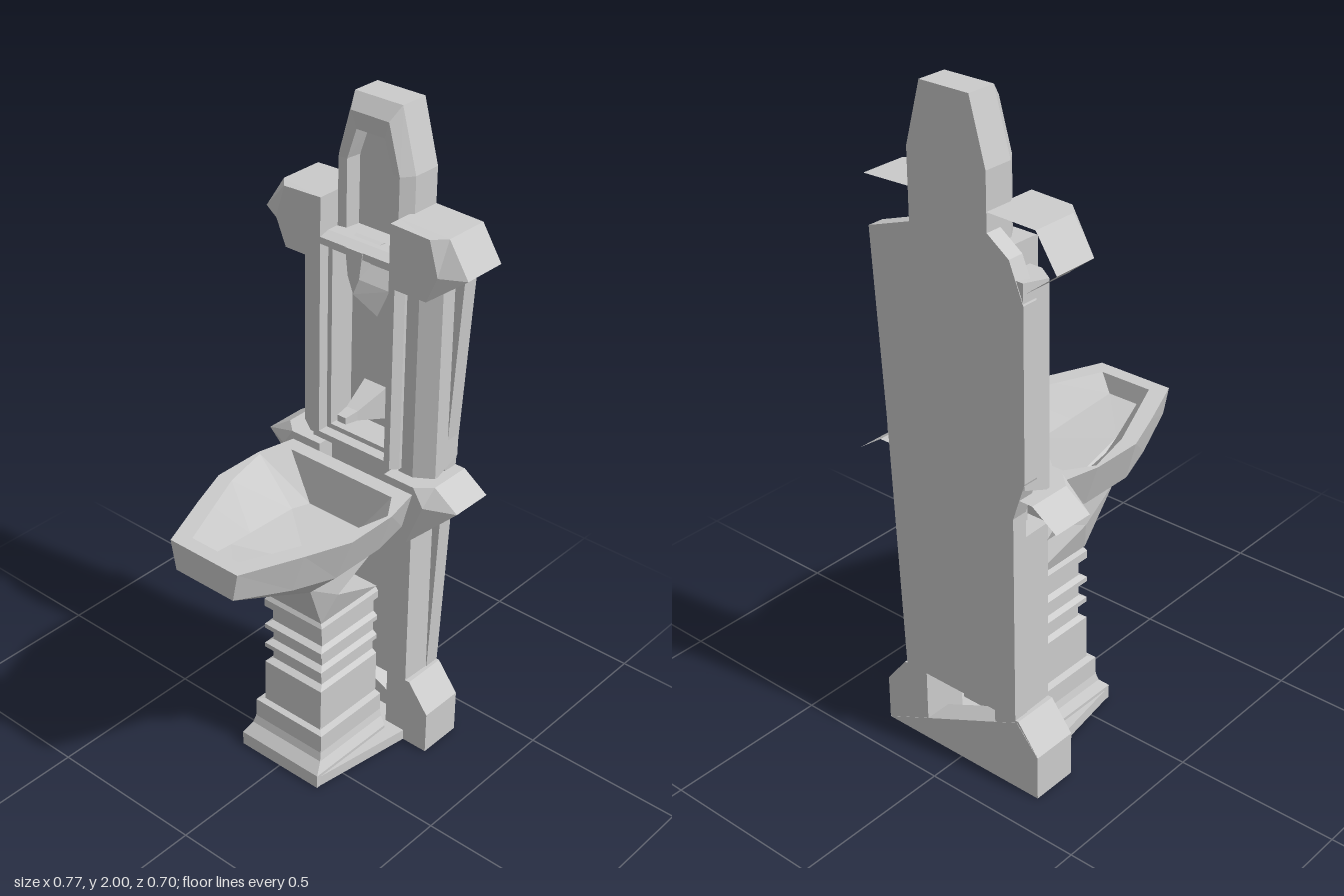
import * as THREE from 'three';

const stone = new THREE.MeshStandardMaterial({ color: 0xcccccc, flatShading: true });

// Skin a run of rings. The first ring's cap faces the viewer, the last faces away.
function loft(rings, project, capStart = true, capEnd = true) {
  const flat = (r) => r.map((p) => new THREE.Vector2(...project(p)));
  const R = THREE.ShapeUtils.area(flat(rings[0])) < 0 ? rings.map((r) => [...r].reverse()) : rings;
  const pos = [];
  const tri = (a, b, c) => pos.push(...a, ...b, ...c);
  for (let k = 0; k + 1 < R.length; k++) {
    const a = R[k], b = R[k + 1], n = a.length;
    for (let i = 0; i < n; i++) {
      const j = (i + 1) % n;
      tri(a[i], b[i], b[j]);
      tri(a[i], b[j], a[j]);
    }
  }
  const cap = (r, flip) => {
    for (const [a, b, c] of THREE.ShapeUtils.triangulateShape(flat(r), [])) {
      if (flip) tri(r[a], r[c], r[b]);
      else tri(r[a], r[b], r[c]);
    }
  };
  if (capStart) cap(R[0], false);
  if (capEnd) cap(R[R.length - 1], true);
  const g = new THREE.BufferGeometry();
  g.setAttribute('position', new THREE.Float32BufferAttribute(pos, 3));
  g.computeVertexNormals();
  return g;
}

// Layers [x, [[z, y], ...]] running from the fountain's face (-x) to its back (+x).
const depthLoft = (layers, s = 1, capEnd = true) =>
  loft(layers.map(([x, pts]) => pts.map(([z, y]) => [x, y, z * s])), (p) => [p[2], p[1]], true, capEnd);

// Rings of half outlines [x, y, z], mirrored in z, running from top to bottom.
const plumbLoft = (halves) =>
  loft(
    halves.map((h) => [...h, ...[...h].reverse().map(([x, y, z]) => [x, y, -z])]),
    (p) => [p[0], -p[2]]
  );

const rect = (z0, z1, y0, y1) => [[z0, y0], [z1, y0], [z1, y1], [z0, y1]];

export function createModel() {
  const group = new THREE.Group();
  const add = (name, geometry) => {
    const m = new THREE.Mesh(geometry, stone);
    m.name = name;
    group.add(m);
    return m;
  };

  // Back slab, with its slightly uneven outline
  const slab = [
    [0.205, 0.23], [-0.205, 0.23], [-0.205, 0.88], [-0.245, 1.0], [-0.245, 1.5], [-0.2, 1.61],
    [-0.13, 1.66], [0.13, 1.62], [0.275, 1.57], [0.24, 1.0],
  ];
  add('backSlab', depthLoft([[0.335, slab], [0.385, slab]]));

  // Crest with chamfered rim and sunken face
  const crest = (k, top) => [
    [-0.13 * k, 1.62], [0.13 * k, 1.62], [0.13 * k, 1.82], [0.08 * k, top], [-0.08 * k, top], [-0.13 * k, 1.82],
  ];
  add('crest', depthLoft([
    [0.31, crest(0.55, 1.9)], [0.265, crest(0.6, 1.91)], [0.26, crest(0.8, 1.96)],
    [0.295, crest(1, 2)], [0.385, crest(1, 2)],
  ]));

  // Sunken panel and its stepped frame
  const panel = (d) => rect(-0.15 + d, 0.15 - d, 0.96 + d, 1.61 - d);
  add('panelFrame', depthLoft([
    [0.31, panel(0.06)], [0.235, panel(0.05)], [0.235, panel(0.035)],
    [0.207, panel(0.03)], [0.207, panel(0.01)], [0.24, panel(0)], [0.335, panel(0)],
  ]));
  add('lowerPanel', depthLoft([[0.265, rect(-0.15, 0.15, 0.2, 0.97)], [0.335, rect(-0.15, 0.15, 0.2, 0.97)]]));
  add('panelOrnament', depthLoft([
    [0.205, [[-0.02, 1.52], [0, 1.47], [0.02, 1.52], [0.03, 1.6], [-0.03, 1.6]]],
    [0.31, [[-0.04, 1.45], [0, 1.36], [0.04, 1.45], [0.06, 1.62], [-0.06, 1.62]]],
  ]));
  add('spout', depthLoft([
    [0.165, rect(-0.015, 0.015, 1.085, 1.105)], [0.21, rect(-0.02, 0.02, 1.08, 1.11)],
    [0.31, rect(-0.04, 0.04, 1.05, 1.15)],
  ]));

  // Side posts: plinth, lower shaft, bracket, upper shaft, capital
  const bracket = (e) => [[0.12, 0.75], [0.205, 0.75], [0.35 - e, 0.89], [0.27 - e / 2, 0.945], [0.12, 0.945]];
  const capital = (e) => [[0.12, 1.53], [0.245, 1.53], [0.35 - e, 1.61], [0.285 - e / 2, 1.71], [0.12, 1.715]];
  const plinth = [[0.13, 0], [0.285, 0], [0.285, 0.14], [0.215, 0.23], [0.13, 0.23]];
  for (const s of [-1, 1]) {
    const side = s > 0 ? 'left' : 'right';
    add(side + 'Plinth', depthLoft([[0.24, plinth], [0.384, plinth]], s));
    add(side + 'LowerShaft', depthLoft([
      [0.24, rect(0.13, 0.2, 0.2, 0.8)], [0.38, rect(0.13, 0.204, 0.2, 0.8)],
    ], s));
    add(side + 'UpperShaft', depthLoft([
      [0.25, rect(0.14, 0.19, 0.93, 1.54)], [0.285, rect(0.14, 0.243, 0.94, 1.54)],
      [0.383, rect(0.14, 0.243, 0.98, 1.56)],
    ], s));
    add(side + 'Bracket', depthLoft([[0.21, bracket(0.09)], [0.25, bracket(0)], [0.385, bracket(0)]], s, false));
    add(side + 'Capital', depthLoft([[0.207, capital(0.07)], [0.245, capital(0)], [0.385, capital(0)]], s, false));
  }

  // Sloping filler between the plinths
  const ramp = [[0.285, 0], [-0.285, 0], [-0.285, 0.14], [-0.21, 0.225]];
  add('baseFiller', depthLoft([[0.3, ramp], [0.385, ramp]]));

  // Stepped and grooved pedestal: [height, front x, half width]
  const steps = [
    [0.55, -0.03, 0.1], [0.535, -0.04, 0.11], [0.51, -0.04, 0.11], [0.5, -0.02, 0.095],
    [0.455, -0.02, 0.095], [0.445, -0.04, 0.11], [0.43, -0.04, 0.11], [0.42, -0.02, 0.095],
    [0.385, -0.02, 0.095], [0.375, -0.04, 0.11], [0.36, -0.04, 0.11], [0.35, -0.02, 0.095],
    [0.315, -0.02, 0.095], [0.305, -0.04, 0.11], [0.27, -0.04, 0.11], [0.165, -0.042, 0.11],
    [0.16, -0.06, 0.13], [0.1, -0.062, 0.13], [0.075, -0.07, 0.135], [0.045, -0.1, 0.15], [0, -0.1, 0.15],
  ];
  add('pedestal', plumbLoft(steps.map(([y, x, z]) => [[x, y, z], [0.21, y, z]])));
  add('pedestalFoot', plumbLoft([0.035, 0].map((y) => [[-0.098, y, 0.148], [0.24, y, 0.2], [0.38, y, 0.28]])));

  // Flared neck under the basin, notched beside the wall
  const neckShape = new THREE.Shape(
    [[-0.12, 0.73], [-0.035, 0.55], [0.21, 0.55], [0, 0.65], [0.21, 0.75]].map((p) => new THREE.Vector2(...p))
  );
  const neck = new THREE.ExtrudeGeometry(neckShape, { depth: 0.21, bevelEnabled: false }).translate(0, 0, -0.105);
  const v = neck.attributes.position;
  for (let i = 0; i < v.count; i++) if (v.getY(i) > 0.6) v.setZ(i, v.getZ(i) * 1.3);
  neck.computeVertexNormals();
  add('neck', neck);

  // Basin: floor, inner rim, outer rim, outer lip, underside
  add('basin', plumbLoft([
    [[-0.335, 0.865, 0.05], [-0.2, 0.825, 0.083], [-0.1, 0.8, 0.105], [0.085, 0.785, 0.115], [0.14, 0.785, 0.095]],
    [[-0.345, 0.92, 0.085], [-0.2, 0.92, 0.147], [-0.07, 0.92, 0.202], [0.085, 0.92, 0.238], [0.163, 0.92, 0.187]],
    [[-0.39, 0.92, 0.123], [-0.21, 0.92, 0.197], [-0.075, 0.92, 0.248], [0.09, 0.92, 0.248], [0.21, 0.92, 0.222]],
    [[-0.39, 0.83, 0.105], [-0.22, 0.8, 0.165], [-0.09, 0.79, 0.205], [0.09, 0.79, 0.205], [0.21, 0.8, 0.19]],
    [[-0.385, 0.828, 0.09], [-0.24, 0.77, 0.12], [-0.12, 0.722, 0.135], [0.08, 0.735, 0.135], [0.21, 0.748, 0.135]],
  ]));

  return group;
}
